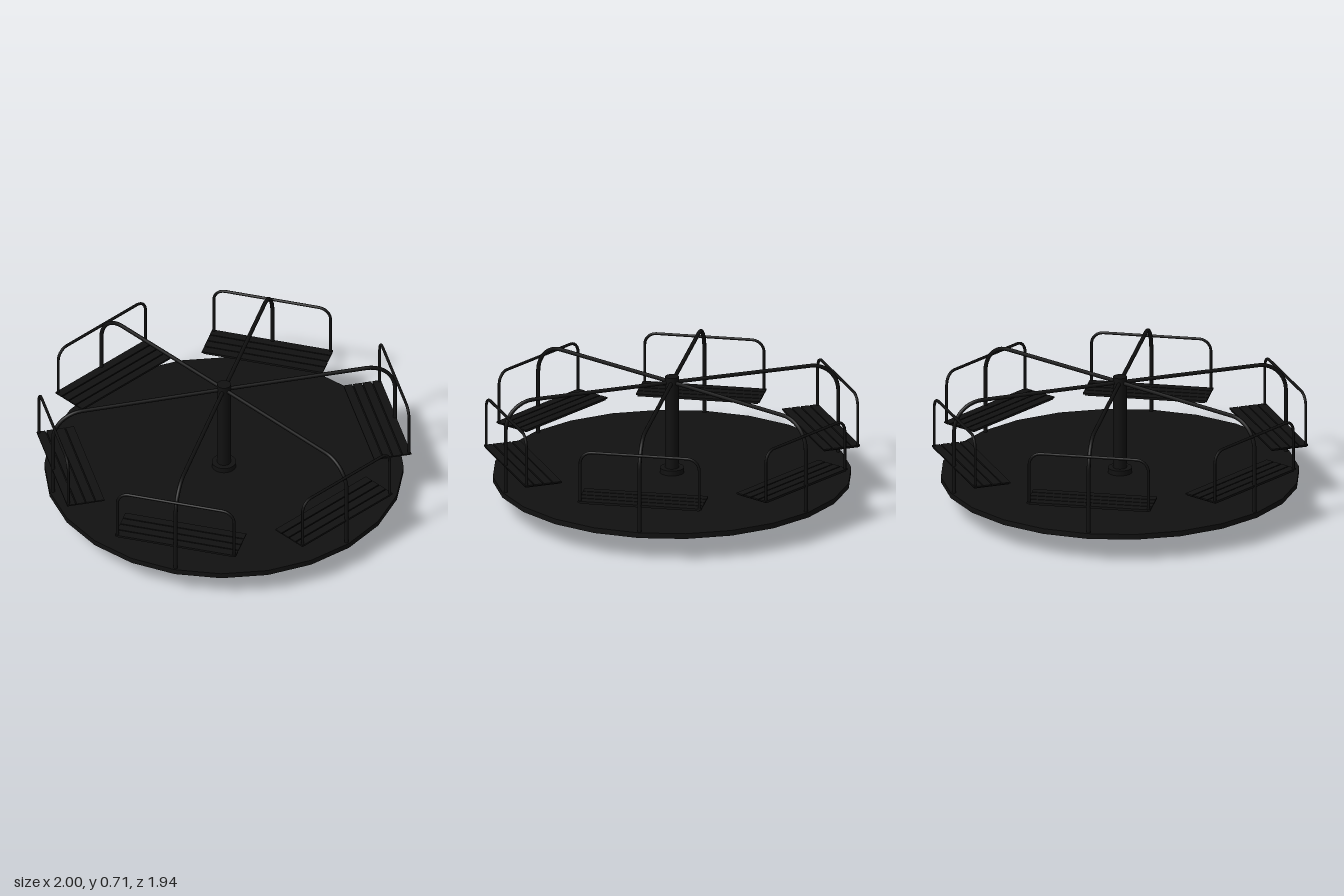
import * as THREE from 'three';

const paint = new THREE.MeshStandardMaterial({ color: 0x111111 });

function add(parent, name, geometry, x = 0, y = 0, z = 0) {
  const mesh = new THREE.Mesh(geometry, paint);
  mesh.name = name;
  mesh.position.set(x, y, z);
  parent.add(mesh);
  return mesh;
}

// Path through points with each inner corner rounded to the given radius
function roundedPath(points, radius) {
  const path = new THREE.CurvePath();
  let start = points[0];
  for (let i = 1; i < points.length - 1; i++) {
    const p = points[i];
    const into = p.clone().sub(points[i - 1]).normalize();
    const out = points[i + 1].clone().sub(p).normalize();
    const a = p.clone().addScaledVector(into, -radius);
    const b = p.clone().addScaledVector(out, radius);
    const k = radius * 0.448;
    path.add(new THREE.LineCurve3(start, a));
    path.add(new THREE.CubicBezierCurve3(a,
      p.clone().addScaledVector(into, -k), p.clone().addScaledVector(out, -k + 0), b));
    // Second handle sits on the outgoing leg
    path.curves.at(-1).v2.copy(p).addScaledVector(out, k);
    start = b;
  }
  path.add(new THREE.LineCurve3(start, points.at(-1)));
  return path;
}

const v = (x, y, z) => new THREE.Vector3(x, y, z);

// One sector: handrail to the centre, seat and back hoop, facing +z
function createSector() {
  const sector = new THREE.Group();
  sector.name = 'sector';

  const rail = roundedPath([v(0, 0.15, 0.953), v(0, 0.679, 0.953), v(0, 0.682, 0)], 0.16);
  add(sector, 'handrail', new THREE.TubeGeometry(rail, 64, 0.011, 10));

  const hoop = roundedPath([
    v(-0.328, 0.31, 0.95), v(-0.328, 0.6, 0.95), v(0.328, 0.6, 0.95), v(0.328, 0.31, 0.95),
  ], 0.065);
  add(sector, 'backHoop', new THREE.TubeGeometry(hoop, 80, 0.008, 8));

  // Seat pan with four slats overhanging its ends
  add(sector, 'seatPan', new THREE.BoxGeometry(0.66, 0.008, 0.2), 0, 0.309, 0.855);
  for (let i = 0; i < 4; i++) {
    add(sector, 'seatSlat', new THREE.BoxGeometry(0.68, 0.008, 0.047), 0, 0.316, 0.775 + i * 0.0535);
  }
  return sector;
}

export function createModel() {
  const model = new THREE.Group();
  model.name = 'merryGoRound';

  // Turning deck
  add(model, 'deck', new THREE.CylinderGeometry(0.972, 0.972, 0.03, 24), 0, 0.15, 0);

  // Centre post, its collar and the ground plate
  add(model, 'centrePost', new THREE.CylinderGeometry(0.037, 0.037, 0.715, 24), 0, 0.3575, 0);
  add(model, 'collar', new THREE.CylinderGeometry(0.066, 0.066, 0.03, 24), 0, 0.178, 0);
  const plate = add(model, 'groundPlate', new THREE.CircleGeometry(0.103, 24), 0, 0.001, 0);
  plate.rotation.x = -Math.PI / 2;

  for (let i = 0; i < 6; i++) {
    const sector = createSector();
    sector.rotation.y = i * Math.PI / 3;
    model.add(sector);
  }
  return model;
}
